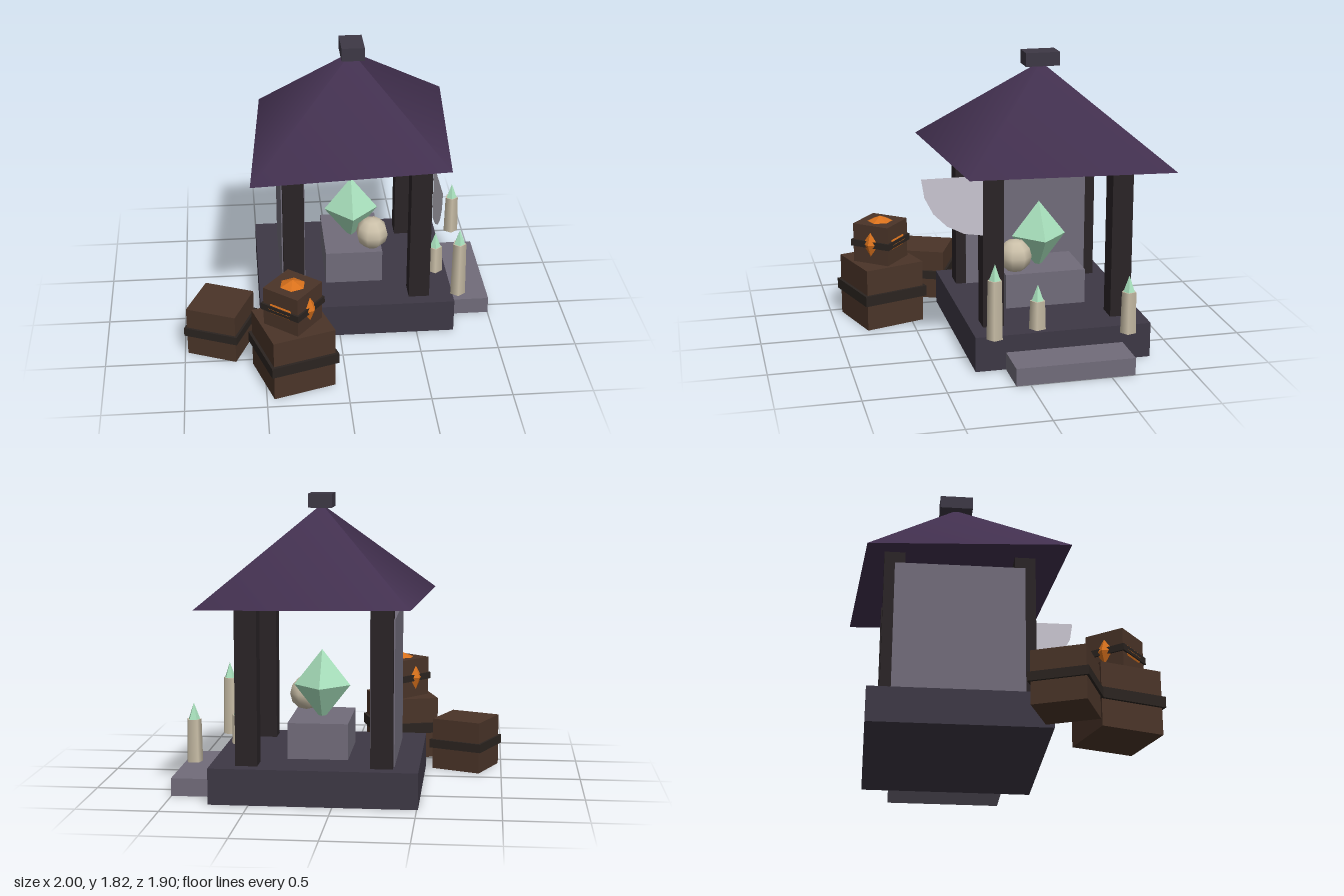
import * as THREE from 'three';

const mat = (color, extra = {}) => new THREE.MeshStandardMaterial({ color, ...extra });
const M = {
  plinth: mat(0x3d3845),
  stone: mat(0x716c7a),
  post: mat(0x2a2426),
  roof: mat(0x42304f),
  crystal: mat(0xa8e0bc, { flatShading: true }),
  bone: mat(0xcabfa8),
  wood: mat(0x4a3428),
  band: mat(0x2b2420),
  ember: mat(0xd9711c, { flatShading: true }),
  web: mat(0xc8c5d0, { side: THREE.DoubleSide }),
};

// Centre of the pavilion
const CX = 0.117, CZ = -0.275, FLOOR = 0.22, EAVE = 1.18;

function add(parent, name, geometry, material, x, y, z) {
  const mesh = new THREE.Mesh(geometry, material);
  mesh.name = name;
  mesh.position.set(x, y, z);
  parent.add(mesh);
  return mesh;
}

// Box standing on height y
const block = (parent, name, material, w, h, d, x, y, z) =>
  add(parent, name, new THREE.BoxGeometry(w, h, d), material, x, y + h / 2, z);

// Cube crate with a strap round its middle
function crate(parent, name, s, x, y, z, turn) {
  const g = new THREE.Group();
  g.name = name;
  g.position.set(x, y, z);
  g.rotation.y = turn;
  block(g, 'crateBody', M.wood, s, s * 1.01, s, 0, 0, 0);
  block(g, 'crateStrap', M.band, s * 1.09, s * 0.17, s * 1.09, 0, s * 0.425, 0);
  parent.add(g);
  return g;
}

// Five-sided candle with a pointed flame
function candle(parent, r, h, x, z) {
  const g = new THREE.Group();
  g.name = 'candle';
  g.position.set(x, FLOOR, z);
  add(g, 'candleBody', new THREE.CylinderGeometry(r * 0.88, r, h, 5), M.bone, 0, h / 2, 0);
  add(g, 'candleFlame', new THREE.ConeGeometry(r * 0.72, 0.1, 5), M.crystal, 0, h + 0.05, 0);
  parent.add(g);
}

export function createModel() {
  const model = new THREE.Group();
  model.name = 'shrine';

  // Floor and entrance step
  block(model, 'plinth', M.plinth, 1.25, FLOOR, 1.1, CX, 0, CZ);
  block(model, 'step', M.stone, 0.26, 0.11, 0.735, 0.871, 0, -0.28);

  // Corner posts and side wall
  for (const sx of [-1, 1]) for (const sz of [-1, 1])
    block(model, 'post', M.post, 0.133, EAVE - FLOOR, 0.13, CX + sx * 0.404, FLOOR, CZ + sz * 0.404);
  block(model, 'sideWall', M.stone, 0.148, 0.885, 0.807, CX - 0.404, FLOOR, CZ);

  // Skewed four-sided roof with a cap
  const roof = add(model, 'roof', new THREE.ConeGeometry(1, 0.575, 4), M.roof, CX, EAVE + 0.2875, CZ - 0.003);
  roof.scale.set(0.952, 1, 0.812);
  roof.rotation.y = Math.PI / 4;
  block(model, 'roofCap', M.plinth, 0.145, 0.085, 0.215, CX, 1.738, CZ);

  // Cobweb hanging from the eave in front of a post
  const web = add(model, 'cobweb', new THREE.CircleGeometry(0.37, 5, -Math.PI / 2, Math.PI / 2),
    M.web, 0.59, EAVE, 0.195);
  web.rotation.y = -Math.PI / 2;

  // Altar with crystal and bone ball
  block(model, 'altar', M.stone, 0.37, 0.222, 0.515, CX, FLOOR, CZ);
  add(model, 'crystal', new THREE.OctahedronGeometry(0.175), M.crystal, CX, 0.635, CZ).scale.y = 1.28;
  add(model, 'boneBall', new THREE.SphereGeometry(0.107, 8, 6), M.bone, 0.24, 0.548, -0.09).rotation.y = 0.4;

  // Candles: radius, height, x, z
  candle(model, 0.054, 0.18, 0.667, -0.127);
  candle(model, 0.051, 0.37, 0.777, 0.165);
  candle(model, 0.051, 0.26, 0.853, -0.643);

  // Crates, the top one holding an ember that breaks through its sides
  crate(model, 'largeCrate', 0.4, -0.323, 0, 0.675, 0.305);
  crate(model, 'sideCrate', 0.327, -0.767, 0, 0.305, -0.395);
  const lantern = crate(model, 'emberCrate', 0.255, -0.322, 0.403, 0.677, 0.89);
  add(lantern, 'ember', new THREE.SphereGeometry(0.161, 6, 4), M.ember, 0, 0.13, 0).rotation.y = Math.PI / 2;

  return model;
}
